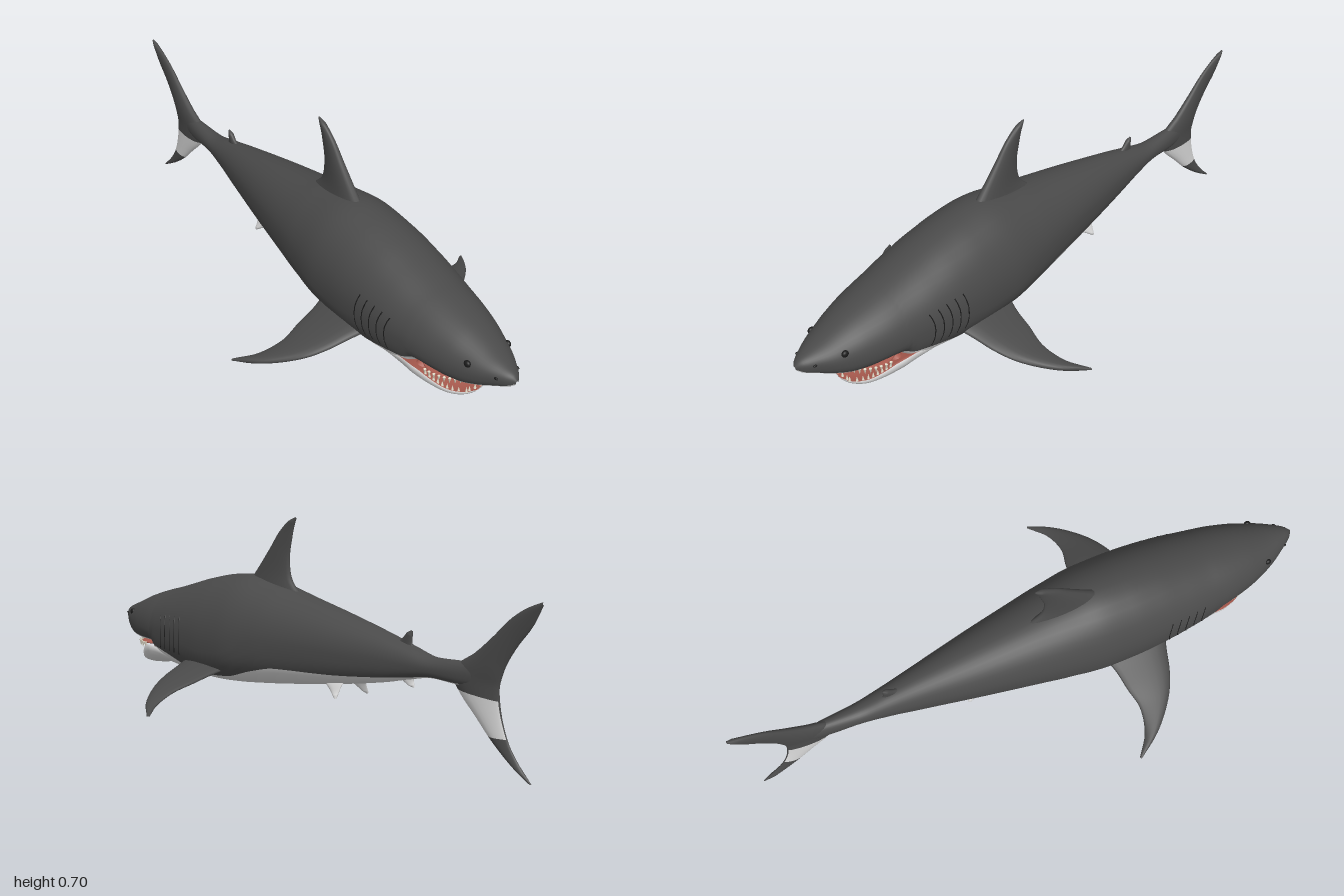
import * as THREE from 'three';

const mat = (name, color) => Object.assign(new THREE.MeshStandardMaterial({ color }), { name });
const V = (x, y, z) => new THREE.Vector3(x, y, z);

// Smooth interpolation without overshoot in a table sorted by falling z (first column)
function sample(table, z) {
  let i = 0;
  while (i < table.length - 2 && z < table[i + 1][0]) i++;
  const slope = (k, c) => (table[k + 1][c] - table[k][c]) / (table[k + 1][0] - table[k][0]);
  const tangent = (k, c) => {
    if (k === 0) return slope(0, c);
    if (k === table.length - 1) return slope(k - 1, c);
    const p = slope(k - 1, c), q = slope(k, c);
    return p * q <= 0 ? 0 : (2 * p * q) / (p + q);
  };
  const h = table[i + 1][0] - table[i][0];
  const t = THREE.MathUtils.clamp((z - table[i][0]) / h, 0, 1), s = 1 - t;
  return table[i].map((a, c) =>
    a * (1 + 2 * t) * s * s + tangent(i, c) * h * t * s * s +
    table[i + 1][c] * t * t * (3 - 2 * t) - tangent(i + 1, c) * h * t * t * s);
}

// Skin closed rings; pick(row, column) chooses the material of each quad
function loft(name, rings, mats, pick = () => 0) {
  const n = rings[0].length, pts = rings.flat();
  const bins = mats.map(() => []);
  for (let i = 0; i < rings.length - 1; i++) {
    for (let j = 0; j < n; j++) {
      const k = (j + 1) % n, a = i * n + j, b = i * n + k, c = a + n, d = b + n;
      bins[pick(i, j)].push(a, c, b, b, c, d);
    }
  }
  // Turn the faces outwards by the sign of the enclosed volume
  const all = bins.flat();
  const mid = pts.reduce((m, p) => m.add(p), V(0, 0, 0)).divideScalar(pts.length);
  const rel = pts.map((p) => p.clone().sub(mid));
  let volume = 0;
  for (let i = 0; i < all.length; i += 3) {
    volume += rel[all[i]].dot(rel[all[i + 1]].clone().cross(rel[all[i + 2]]));
  }
  if (volume < 0) bins.forEach((b) => b.reverse());
  const geo = new THREE.BufferGeometry().setFromPoints(pts);
  geo.setIndex(bins.flat());
  let start = 0;
  bins.forEach((b, m) => { geo.addGroup(start, b.length, m); start += b.length; });
  geo.computeVertexNormals();
  const mesh = new THREE.Mesh(geo, mats);
  mesh.name = name;
  return mesh;
}

// Fin with a lens section between a leading and a trailing edge
const COLS = 20, ROWS = 32;
function fin(name, lead, trail, normal, thickness, mats, pick) {
  const a = new THREE.CatmullRomCurve3(lead), b = new THREE.CatmullRomCurve3(trail);
  const rings = [];
  for (let i = 0; i <= ROWS; i++) {
    const t = i / ROWS, p = a.getPoint(t), q = b.getPoint(t);
    const th = Math.min(thickness(t), p.distanceTo(q) * 0.4);
    rings.push(Array.from({ length: COLS }, (_, j) => {
      const ang = (j / COLS) * Math.PI * 2, c = (1 - Math.cos(ang)) / 2;
      return p.clone().lerp(q, c).addScaledVector(normal, th * Math.sin(ang) * (1.2 - 0.5 * c));
    }));
  }
  return loft(name, rings, mats, pick);
}
const side = (list) => list.map(([z, y]) => V(0, y, z));

// Body stations: z, top, bottom, half width, height of widest point, colour border
const BODY = [
  [1, .287, .276, .004, .282, .279], [.985, .302, .262, .022, .281, .270],
  [.95, .316, .245, .046, .28, .256], [.9, .333, .222, .076, .272, .24],
  [.85, .352, .206, .098, .265, .23], [.8, .37, .203, .116, .265, .226],
  [.72, .393, .205, .136, .268, .223], [.685, .402, .2, .142, .268, .22],
  [.65, .41, .145, .148, .268, .212], [.55, .437, .133, .163, .27, .19],
  [.45, .464, .123, .172, .27, .16], [.35, .483, .12, .176, .27, .148],
  [.25, .492, .125, .175, .27, .155], [.1, .468, .14, .157, .28, .195],
  [0, .447, .152, .14, .285, .215], [-.2, .408, .18, .104, .29, .22],
  [-.4, .365, .215, .066, .288, .235], [-.5, .34, .238, .048, .287, .247],
  [-.6, .318, .255, .034, .285, .26], [-.7, .322, .25, .026, .285, .256],
  [-.78, .325, .255, .015, .285, .26], [-.84, .295, .275, .003, .285, .277],
];
// Jaw stations: z, half width, rim height, bottom, depth of the mouth floor
const JAW = [
  [.842, .004, .143, .139, 0], [.832, .04, .146, .13, .004], [.8, .082, .157, .123, .015],
  [.76, .11, .178, .124, .025], [.72, .13, .2, .128, .03], [.68, .14, .208, .135, .03],
  [.56, .14, .19, .15, .02],
];

const POWER = 2.7; // squareness of the belly
function bodyPoint([z, top, bottom, w, mid], a) {
  const c = Math.cos(a), s = Math.max(0, Math.sin(a));
  return c >= 0 ? V(w * s, mid + (top - mid) * c, z)
    : V(w * s ** (2 / POWER), mid - (mid - bottom) * (-c) ** (2 / POWER), z);
}
function borderAngle([, , bottom, , mid, border]) {
  const r = THREE.MathUtils.clamp((mid - border) / (mid - bottom), 0, 1);
  return Math.PI / 2 + Math.asin(r ** (POWER / 2));
}

export function createModel() {
  const model = new THREE.Group();
  model.name = 'shark';
  const skin = mat('dark grey skin', 0x4a4a4a), belly = mat('pale belly', 0xd8d8d8);
  const flesh = mat('mouth red', 0xa85a4e), ivory = mat('ivory teeth', 0xe6dfcc);
  const black = mat('black', 0x1c1c1c);

  // Body: dark back and pale belly meet along the border
  const D = 14, P = 8, H = D + P, rings = [];
  for (let i = 0; i <= 110; i++) {
    const st = sample(BODY, 1 - 1.84 * (i / 110) ** 1.25), edge = borderAngle(st);
    const half = [];
    for (let j = 0; j <= H; j++) {
      half.push(bodyPoint(st, j <= D ? (edge * j) / D : edge + ((Math.PI - edge) * (j - D)) / P));
    }
    rings.push([...half, ...half.slice(1, -1).reverse().map((p) => V(-p.x, p.y, p.z))]);
  }
  model.add(loft('body', rings, [skin, belly], (i, j) => (j < D || j >= 2 * H - D ? 0 : 1)));

  // Lower jaw: pale shell with a hollow red floor
  const jawRings = [];
  for (let i = 0; i <= 30; i++) {
    const [z, w, rim, bottom, depth] = sample(JAW, .842 - .282 * (i / 30) ** 1.4), ring = [];
    for (let j = 0; j <= 14; j++) {
      const a = (j / 14) * Math.PI, c = Math.cos(a);
      ring.push(V(w * Math.sign(c) * Math.abs(c) ** .8, rim - (rim - bottom) * Math.max(0, Math.sin(a)) ** .8, z));
    }
    for (let j = 0; j < 9; j++) {
      const f = -.9 + (1.8 * j) / 8;
      ring.push(V(w * f, rim - depth * (1 - f * f), z));
    }
    jawRings.push(ring);
  }
  model.add(loft('lowerJaw', jawRings, [belly, flesh], (i, j) => (j < 14 ? 0 : 1)));

  // Throat and palate
  const ball = (name, m, pos, scale) => {
    const b = new THREE.Mesh(new THREE.SphereGeometry(1, 28, 16), m);
    b.name = name;
    b.position.set(...pos);
    b.scale.set(...scale);
    model.add(b);
  };
  ball('throat', flesh, [0, .18, .695], [.125, .036, .035]);
  ball('palate', flesh, [0, .206, .745], [.112, .009, .09]);

  // Teeth along both jaws
  const toothGeo = new THREE.ConeGeometry(.005, .02, 6);
  const tooth = (name, x, y, z, down) => {
    const t = new THREE.Mesh(toothGeo, ivory);
    t.name = name;
    t.position.set(x, y, z);
    if (down) t.rotation.x = Math.PI;
    model.add(t);
  };
  for (let i = 0; i <= 22; i++) {
    const a = (i / 22 - .5) * Math.PI * .94;
    tooth('upperTooth', .118 * Math.sin(a), .199, .725 + .125 * Math.cos(a), true);
  }
  for (let i = 0; i < 9; i++) {
    const [z, w, rim] = sample(JAW, .834 - .012 * i);
    for (const s of [-1, 1]) tooth('lowerTooth', s * w * .93, rim + .006, z - .003, false);
  }
  for (const x of [-.022, 0, .022]) tooth('lowerTooth', x, .151, .832, false);

  // Eyes, nostrils and gill slits
  for (const s of [-1, 1]) {
    ball('eye', black, [s * .077, .302, .872], [.009, .011, .012]);
    ball('nostril', black, [s * .041, .287, .955], [.004, .004, .008]);
    for (let i = 0; i < 5; i++) {
      const path = [];
      for (let j = 0; j <= 6; j++) {
        const p = bodyPoint(sample(BODY, .6 - i * .032 - .012 * Math.sin((j / 6) * Math.PI)), 1.2 + j * .12);
        path.push(V(s * (p.x - .0008), p.y, p.z));
      }
      const slit = new THREE.Mesh(new THREE.TubeGeometry(new THREE.CatmullRomCurve3(path), 14, .002, 5), black);
      slit.name = 'gillSlit';
      model.add(slit);
    }
  }

  // Fins on the centre line
  const X = V(1, 0, 0);
  model.add(fin('dorsalFin',
    side([[.28, .46], [.225, .52], [.165, .59], [.12, .645], [.075, .682], [.04, .698]]),
    side([[.0, .43], [.06, .49], [.072, .56], [.06, .625], [.048, .67], [.037, .694]]),
    X, (t) => .022 * (1 - t) ** 2 + .009, [skin]));
  model.add(fin('rearDorsalFin',
    side([[-.42, .34], [-.455, .358], [-.478, .38], [-.494, .388]]),
    side([[-.515, .32], [-.498, .345], [-.497, .37], [-.498, .385]]), X, () => .009, [skin]));
  model.add(fin('analFin',
    side([[-.43, .245], [-.46, .228], [-.485, .217], [-.505, .212]]),
    side([[-.52, .255], [-.505, .238], [-.507, .222], [-.509, .214]]), X, () => .008, [belly]));

  // Tail fin with a pale patch at the foot of the lower lobe
  model.add(fin('tailFin',
    side([[-1, .527], [-.94, .503], [-.88, .465], [-.82, .41], [-.75, .352], [-.66, .29],
      [-.69, .235], [-.76, .165], [-.82, .105], [-.89, .05], [-.966, .002]]),
    side([[-.998, .517], [-.965, .455], [-.91, .39], [-.87, .33], [-.852, .285], [-.847, .26],
      [-.85, .22], [-.86, .17], [-.885, .105], [-.925, .05], [-.971, .004]]),
    X, (t) => .009 + .011 * Math.sin(t * Math.PI) ** 3, [skin, belly],
    (i, j) => (i >= 19 && i < 25 && (j < 9 || j >= COLS - 9) ? 1 : 0)));

  // Paired fins
  for (const s of [-1, 1]) {
    const pts = (list) => list.map(([x, y, z]) => V(s * x, y, z));
    model.add(fin(s > 0 ? 'leftPectoralFin' : 'rightPectoralFin',
      pts([[.12, .185, .475], [.18, .165, .455], [.25, .142, .435], [.32, .118, .4], [.41, .088, .32], [.472, .066, .228]]),
      pts([[.12, .185, .24], [.18, .165, .262], [.25, .142, .275], [.32, .118, .29], [.4, .09, .272], [.466, .068, .224]]),
      V(s * .32, .947, 0), (t) => .02 - .011 * t, [skin]));
    model.add(fin(s > 0 ? 'leftPelvicFin' : 'rightPelvicFin',
      pts([[.035, .2, -.12], [.052, .178, -.17], [.062, .158, -.205], [.07, .143, -.226]]),
      pts([[.035, .21, -.25], [.052, .185, -.24], [.062, .162, -.236], [.07, .144, -.234]]),
      V(s * .95, .31, 0), () => .008, [belly]));
  }
  return model;
}
